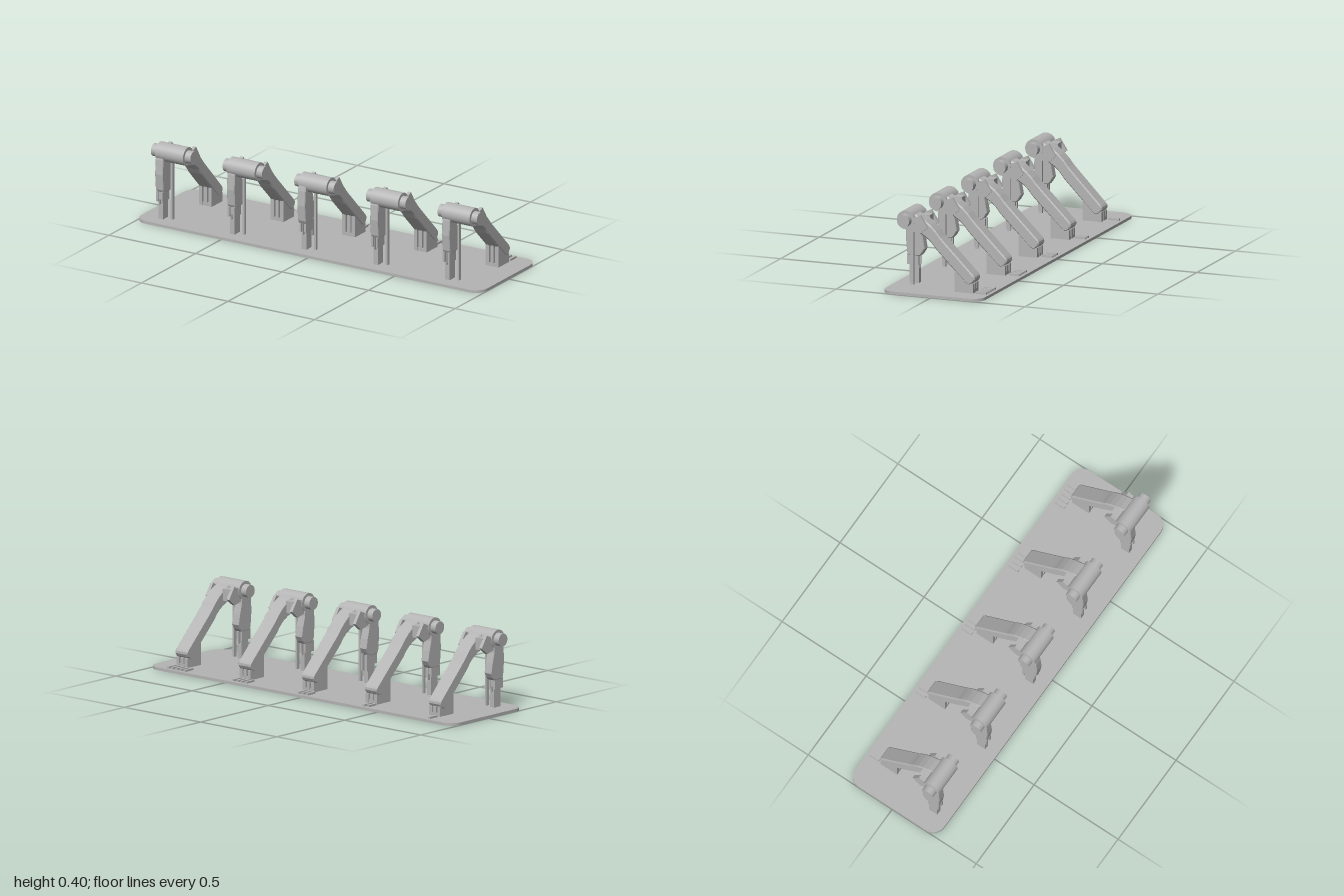
import * as THREE from 'three';

const grey = new THREE.MeshStandardMaterial({ color: 0xb4b4b4 });
grey.name = 'plain grey';

function part(name, geometry) {
  const mesh = new THREE.Mesh(geometry, grey);
  mesh.name = name;
  return mesh;
}

// Box given by its limits on each axis
function block(name, x0, x1, y0, y1, z0, z1) {
  const g = new THREE.BoxGeometry(x1 - x0, y1 - y0, z1 - z0);
  g.translate((x0 + x1) / 2, (y0 + y1) / 2, (z0 + z1) / 2);
  return part(name, g);
}

// Side profile of [z, y] points, extruded from x0 to x1
function slab(name, points, x0, x1, bevel = 0) {
  const shape = new THREE.Shape(points.map(([z, y]) => new THREE.Vector2(-z, y)));
  const g = new THREE.ExtrudeGeometry(shape, {
    depth: x1 - x0 - 2 * bevel, bevelEnabled: bevel > 0, bevelSegments: 1,
    bevelSize: bevel, bevelOffset: -bevel, bevelThickness: bevel,
  });
  g.rotateY(Math.PI / 2);
  g.translate(x0 + bevel, 0, 0);
  return part(name, g);
}

function drum(name, radius, x0, x1) {
  const g = new THREE.CylinderGeometry(radius, radius, x1 - x0, 40);
  g.rotateZ(Math.PI / 2);
  g.translate((x0 + x1) / 2, HUB_Y, HUB_Z);
  return part(name, g);
}

const HUB_Y = 0.357, HUB_Z = 0.17, TOP = 0.014;

const ARM = [
  [0.17, 0.4], [0.137, 0.386], [0.105, 0.374], [0.074, 0.357], [0.045, 0.335], [0.018, 0.308],
  [-0.005, 0.28], [-0.028, 0.256], [-0.181, 0.103], [-0.187, 0.094], [-0.188, 0.082],
  [-0.18, 0.068], [-0.168, 0.058], [-0.155, 0.055], [-0.143, 0.06], [0.016, 0.217],
  [0.04, 0.247], [0.065, 0.27], [0.1, 0.291], [0.135, 0.304], [0.17, 0.312],
];
const BRACKET = [[0.165, 0.39], [0.124, 0.372], [0.094, 0.385], [0.056, 0.326], [0.097, 0.292], [0.165, 0.311]];
const FINGER = [
  [0.207, 0.35], [0.213, 0.325], [0.219, 0.25], [0.212, 0.17], [0.203, 0.153],
  [0.143, 0.153], [0.132, 0.166], [0.118, 0.19], [0.127, 0.24], [0.14, 0.29], [0.145, 0.35],
];
const FOOT = [[-0.08, TOP], [-0.08, 0.127], [-0.12, 0.095], [-0.165, 0.065], [-0.179, 0.062], [-0.179, TOP]];

function createStation(index) {
  const g = new THREE.Group();
  g.name = 'station' + (index + 1);

  // Hinge drum with end caps
  g.add(drum('hingeDrum', 0.047, -0.081, 0.081), drum('hingePin', 0.032, -0.114, 0.114));

  // Bracket cheeks and the web joining them to the arm
  g.add(slab('rightBracket', BRACKET, -0.076, -0.058), slab('leftBracket', BRACKET, 0.063, 0.08));
  g.add(block('bracketWeb', -0.06, -0.012, 0.31, 0.37, 0.08, 0.15));

  // Long curved arm, the first one tilted slightly lower
  const pivot = new THREE.Group();
  pivot.name = 'armPivot';
  pivot.position.set(0, HUB_Y, HUB_Z);
  const arm = slab('longArm', ARM, -0.015, 0.065, 0.006);
  arm.position.set(0, -HUB_Y, -HUB_Z);
  pivot.rotation.x = index === 0 ? -0.02 : 0;
  pivot.add(arm);
  g.add(pivot);

  // Slotted foot under the arm's far end
  for (let i = 0; i < 3; i++) {
    const x = -0.012 + i * 0.0275;
    g.add(slab('footWall', FOOT, x, x + 0.019));
  }
  g.add(block('footSill', -0.012, 0.062, TOP, 0.03, -0.178, -0.081));

  // Hanging finger
  const finger = slab('finger', FINGER, -0.081, -0.036, 0.004);
  finger.position.z = index === 2 ? 0.01 : 0;
  g.add(finger);

  // Forked fingertip
  for (const x of [-0.078, -0.05]) {
    g.add(block('fingerTip', x, x + 0.011, 0.107, 0.16, 0.15, 0.212));
    if (index === 2) g.add(block('fingerHook', x, x + 0.011, 0.075, 0.16, 0.138, 0.153));
  }
  if (index < 2) g.add(block('fingerTipWeb', -0.068, -0.049, 0.118, 0.16, 0.155, 0.205));

  // Post below the finger, split at its top
  g.add(block('post', -0.072, -0.045, TOP, 0.088, 0.152, 0.2));
  for (const x of [-0.072, -0.053]) g.add(block('postProng', x, x + 0.008, 0.086, 0.15, 0.152, 0.2));

  // Slim strut holding up the hinge
  g.add(block('strut', -0.014, -0.003, TOP, 0.33, 0.162, 0.178));

  // Counting bars, one more at each station
  for (let i = 0; i <= index; i++) {
    const x = (i - index / 2) * 0.0275;
    g.add(block('countBar', x - 0.007, x + 0.007, TOP, 0.024, -0.249, -0.193));
  }
  return g;
}

// Base plate with rounded corners
function createBase() {
  const w = 1, d = 0.265, r = 0.065;
  const s = new THREE.Shape();
  s.absarc(w - r, d - r, r, 0, Math.PI / 2);
  s.absarc(-w + r, d - r, r, Math.PI / 2, Math.PI);
  s.absarc(-w + r, -d + r, r, Math.PI, Math.PI * 1.5);
  s.absarc(w - r, -d + r, r, Math.PI * 1.5, Math.PI * 2);
  const g = new THREE.ExtrudeGeometry(s, { depth: TOP, bevelEnabled: false, curveSegments: 10 });
  g.rotateX(-Math.PI / 2);
  return part('basePlate', g);
}

export function createModel() {
  const model = new THREE.Group();
  model.name = 'fiveArmRack';
  model.add(createBase());
  for (let i = 0; i < 5; i++) {
    const station = createStation(i);
    station.position.x = -0.83 + i * 0.414;
    model.add(station);
  }
  return model;
}
